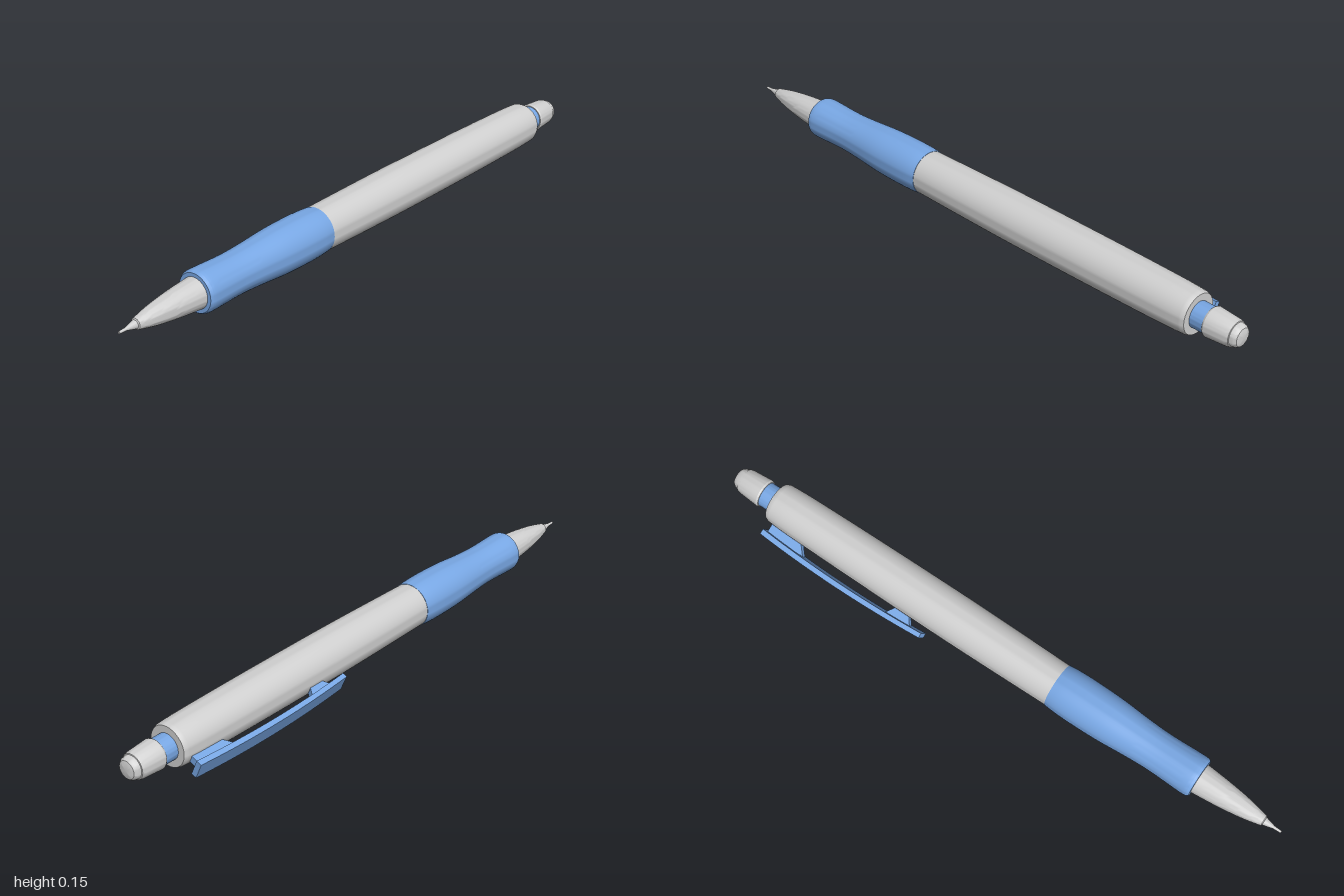
import * as THREE from 'three';
import { toCreasedNormals } from 'three/addons/utils/BufferGeometryUtils.js';

export function createModel() {
  const gray = new THREE.MeshStandardMaterial({ color: 0xcfcfcf });
  gray.name = 'light gray plastic';
  const blue = new THREE.MeshStandardMaterial({ color: 0x78a7e4 });
  blue.name = 'blue rubber';

  // The pencil lies along x; everything is built around its axis.
  const pencil = new THREE.Group();
  pencil.name = 'pencil';
  pencil.position.set(0, 0.0765, 0.025);

  const add = (name, geometry, material, parent = pencil) => {
    const mesh = new THREE.Mesh(toCreasedNormals(geometry, 0.5), material);
    mesh.name = name;
    parent.add(mesh);
    return mesh;
  };
  // Turned part from [x, radius] pairs
  const turned = (name, profile, material) => {
    const points = profile.map(([x, r]) => new THREE.Vector2(r, x));
    add(name, new THREE.LatheGeometry(points, 48).rotateZ(-Math.PI / 2), material);
  };
  // Smooth outline through a few [x, radius] pairs
  const smooth = (pairs, n) => new THREE.SplineCurve(pairs.map(p => new THREE.Vector2(...p)))
    .getPoints(n).map(p => [p.x, p.y]);

  turned('leadTip', [[-1, 0], [-1, 0.004], [-0.975, 0.005], [-0.94, 0.014]], gray);
  turned('noseCone', [[-0.945, 0.01],
    ...smooth([[-0.94, 0.017], [-0.88, 0.03], [-0.8, 0.041], [-0.71, 0.049]], 16)], gray);
  turned('grip', [[-0.718, 0.04], [-0.718, 0.06],
    ...smooth([[-0.713, 0.064], [-0.69, 0.066], [-0.58, 0.063], [-0.5, 0.066], [-0.4, 0.073],
      [-0.31, 0.075], [-0.25, 0.074], [-0.212, 0.071]], 40), [-0.21, 0.06]], blue);
  turned('barrel', [[-0.212, 0.05],
    ...smooth([[-0.212, 0.07], [0, 0.073], [0.2, 0.0745], [0.5, 0.0735], [0.75, 0.0705], [0.835, 0.067]], 32),
    [0.845, 0.063], [0.845, 0]], gray);
  turned('buttonStem', [[0.84, 0.041], [0.9, 0.041]], blue);
  turned('buttonCap', [[0.89, 0], [0.89, 0.044], [0.896, 0.047], [0.965, 0.042], [0.975, 0.039],
    [0.976, 0.036], [0.988, 0.034], [0.996, 0.028], [1, 0.016], [1, 0]], gray);

  // Pocket clip: local y points away from the axis, down and to the back
  const clip = new THREE.Group();
  clip.name = 'clip';
  clip.rotation.x = -2.0;
  pencil.add(clip);
  const plate = (name, shape, width) => {
    const geometry = new THREE.ExtrudeGeometry(shape, { depth: width, bevelEnabled: false, curveSegments: 16 });
    add(name, geometry.translate(0, 0, -width / 2), blue, clip);
  };

  const bar = new THREE.Shape();
  bar.moveTo(0.225, 0.093);
  bar.quadraticCurveTo(0.53, 0.115, 0.832, 0.093);
  bar.lineTo(0.832, 0.111);
  bar.quadraticCurveTo(0.53, 0.132, 0.225, 0.109);
  bar.closePath();
  plate('clipBar', bar, 0.055);

  // Posts that join the clip to the barrel: [bottom start, end, top start, end]
  for (const [name, a, b, c, d] of [
    ['frontClipPost', 0.295, 0.335, 0.27, 0.36],
    ['rearClipPost', 0.71, 0.82, 0.68, 0.82]]) {
    const post = new THREE.Shape();
    post.moveTo(a, 0.064);
    post.lineTo(b, 0.064);
    post.lineTo(d, 0.1);
    post.lineTo(c, 0.1);
    post.closePath();
    plate(name, post, 0.023);
  }

  const model = new THREE.Group();
  model.name = 'mechanicalPencil';
  model.add(pencil);
  return model;
}
